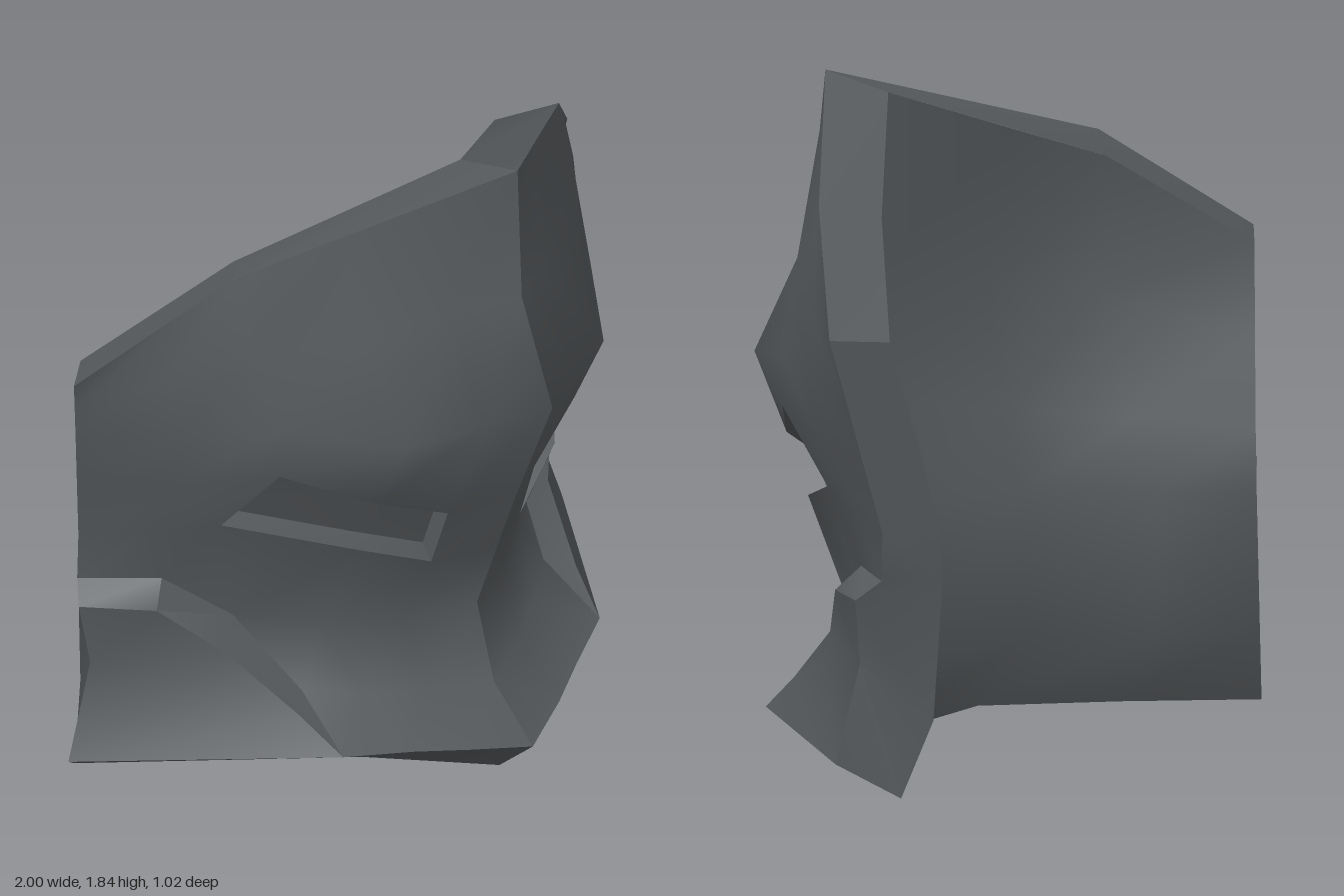
import * as THREE from 'three';
import { toCreasedNormals } from 'three/addons/utils/BufferGeometryUtils.js';

// Cross-sections of one half (x >= 0), rows from top to bottom, points from centre to side.
const front = [
  [[0, 1.84, .385], [.18, 1.78, .266], [.4, 1.707, .121], [.66, 1.62, -.05], [.8, 1.503, -.161], [1, 1.335, -.32]],
  [[0, 1.46, .40], [.18, 1.44, .31], [.4, 1.41, .2], [.66, 1.41, .01], [.82, 1.36, -.14], [.981, 1.25, -.334]],
  [[0, 1.16, .51], [.18, 1.15, .433], [.4, 1.14, .34], [.64, 1.19, .08], [.8, 1.18, -.11], [.958, 1.15, -.351]],
  [[0, .86, .385], [.175, .83, .29], [.4, .93, .235], [.63, 1.055, .09], [.78, 1.0, -.14], [.925, 1.0, -.376]],
  [[0, .66, .31], [.18, .665, .235], [.4, .765, .165], [.67, .86, -.085], [.78, .82, -.25], [.88, .8, -.41]],
  [[0, .47, .24], [.2, .47, .16], [.4, .5, .04], [.57, .53, -.13], [.735, .67, -.24], [.885, .67, -.41]],
  [[0, .25, .30], [.18, .27, .225], [.35, .3, .14], [.49, .33, .045]],
  [[0, .10, .44], [.18, .14, .375], [.33, .17, .305], [.52, .2, .22]],
];
const back = [
  [[0, 1.80, .18], [.3, 1.675, -.015], [.53, 1.58, -.165], [.86, 1.32, -.42]],
  [[0, 1.29, .245], [.31, 1.25, .08], [.54, 1.2, -.14], [.806, 1.08, -.459]],
  [[0, .95, .19], [.32, .9, .03], [.55, .87, -.23], [.75, .83, -.50]],
  [[0, .7, .14], [.33, .68, -.03], [.56, .67, -.32], [.74, .67, -.51]],
  [[0, .23, .145], [.36, .28, -.03], [.57, .28, -.29], [.77, .28, -.50]],
  [[0, 0, .32], [.32, .08, .11], [.59, .08, -.17], [.85, .075, -.45]],
];
// Raised cheek plate: inner edge from bottom to top, then outer edge from top to bottom
const cheekInner = [[.52, .2, .22], [.56, .3, .1], [.65, .46, -.08], [.8, .61, -.2], [.935, .62, -.36]];
const cheekOuter = [[.935, .62, -.36], [.9, .44, -.35], [1, .18, -.34]];

// Turns rows of points into quads, leaving out the cells that skip() names
function grid(rows, skip = () => false) {
  const pos = [];
  const tri = (...pts) => {
    const [a, b, c] = pts.map(p => new THREE.Vector3(...p));
    if (b.sub(a).cross(c.sub(a)).length() > 1e-6) pts.forEach(p => pos.push(...p));
  };
  for (let r = 0; r + 1 < rows.length; r++) {
    const n = Math.min(rows[r].length, rows[r + 1].length);
    for (let c = 0; c + 1 < n; c++) {
      if (skip(r, c)) continue;
      const [a, b, d, e] = [rows[r][c], rows[r + 1][c], rows[r + 1][c + 1], rows[r][c + 1]];
      tri(a, b, d);
      tri(a, d, e);
    }
  }
  return pos;
}

function toGeometry(pos, mirrored, crease) {
  let p = pos;
  if (mirrored) {
    p = [];
    for (let i = 0; i < pos.length; i += 9)
      for (const k of [0, 6, 3]) p.push(-pos[i + k], pos[i + k + 1], pos[i + k + 2]);
  }
  const g = new THREE.BufferGeometry();
  g.setAttribute('position', new THREE.Float32BufferAttribute(p, 3));
  return toCreasedNormals(g, crease);
}

export function createModel() {
  const gray = new THREE.MeshStandardMaterial({ color: 0x565a5d });
  gray.name = 'slate gray';

  // Eye recess: the rim and its sunken floor
  const eyeTop = front[3].slice(1, 4), eyeBottom = front[4].slice(1, 4);
  const sink = p => [p[0] - .045, p[1] + .015, p[2] - .07];
  const floorTop = eyeTop.map(sink), floorBottom = eyeBottom.map(sink);

  // Rims between the front and back surfaces
  const sideFront = [...front.slice(0, 6).map(r => r[5]), ...cheekOuter];
  const sideBack = [0, 0, 1, 1, 2, 3, 3, 4, 5].map(i => back[i][3]);
  const bottomFront = [...front[7], cheekOuter[2]];
  const low = back[5];
  const bottomBack = [low[0], [.16, .04, .215], low[1], low[2], low[3]];

  const cheekBase = [front[7][3], front[6][3], front[5][3], front[5][4], front[5][5]];

  const parts = {
    face: [grid(front, (r, c) => r === 3 && (c === 1 || c === 2)), 1.1],
    innerFace: [grid([...back].reverse()), 1.1],
    cheekBevel: [grid([cheekBase, cheekInner]), .6],
    cheekPlate: [grid([
      [cheekInner[3], cheekOuter[0]], [cheekInner[2], cheekOuter[1]],
      [cheekInner[1], cheekOuter[2]], [cheekInner[0], cheekOuter[2]],
    ]), .8],
    eyeFloor: [grid([floorTop, floorBottom]), .5],
    eyeWalls: [[
      ...grid([eyeTop, floorTop]),
      ...grid([floorBottom, eyeBottom]),
      ...grid([[eyeTop[0], floorTop[0]], [eyeBottom[0], floorBottom[0]]]),
      ...grid([[floorTop[2], eyeTop[2]], [floorBottom[2], eyeBottom[2]]]),
    ], .3],
    topRim: [grid([[0, 2, 3].map(i => back[0][i]), [0, 3, 5].map(i => front[0][i])]), .3],
    sideRim: [grid(sideFront.map((p, i) => [p, sideBack[i]])), .5],
    bottomRim: [grid([bottomFront, bottomBack]), .4],
  };

  // Both halves
  const model = new THREE.Group();
  model.name = 'mask';
  for (const side of ['left', 'right']) {
    const half = new THREE.Group();
    half.name = side + 'Half';
    for (const [name, [pos, crease]] of Object.entries(parts)) {
      const mesh = new THREE.Mesh(toGeometry(pos, side === 'right', crease), gray);
      mesh.name = name;
      half.add(mesh);
    }
    model.add(half);
  }
  return model;
}
